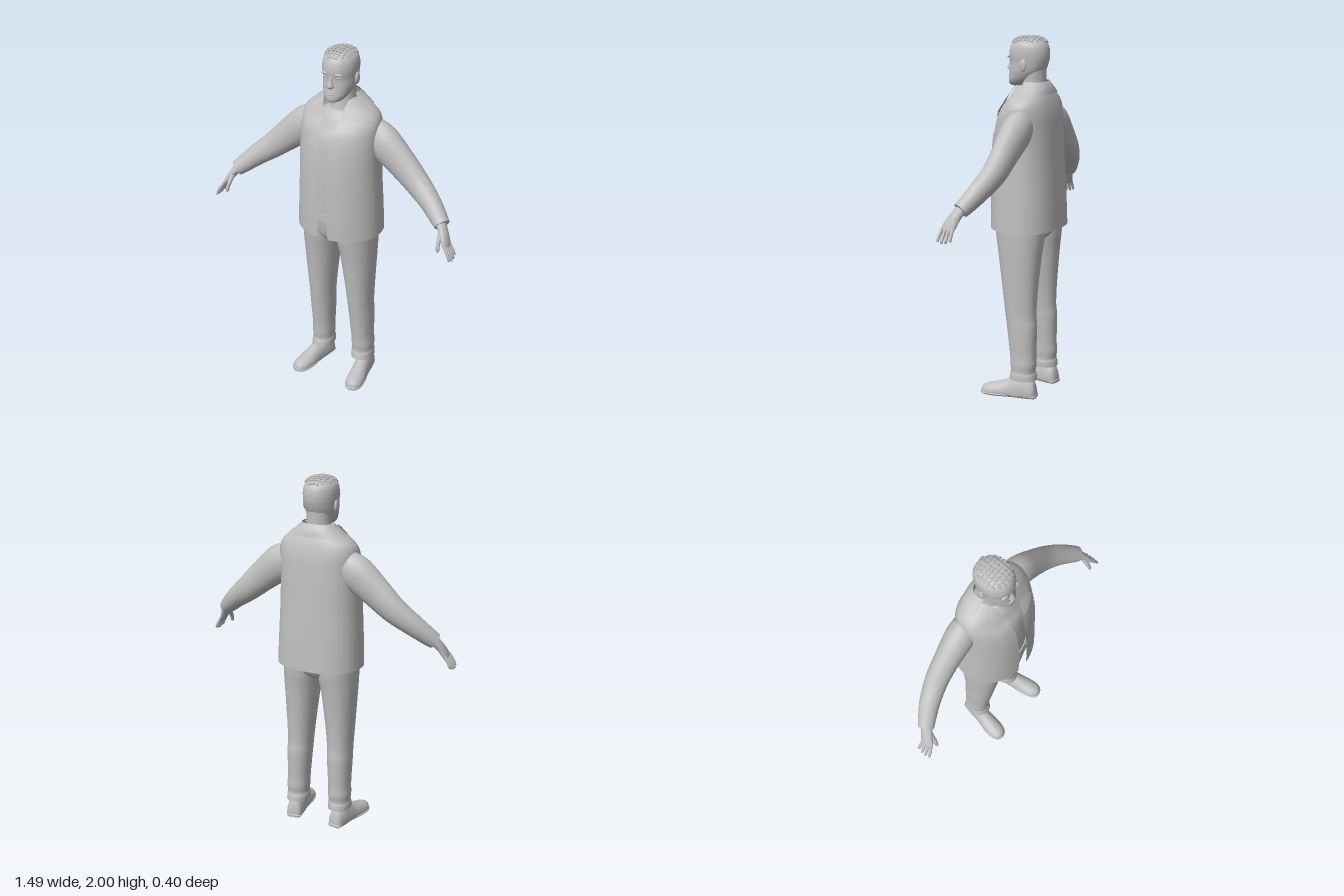
import * as THREE from 'three';
import { toCreasedNormals } from 'three/addons/utils/BufferGeometryUtils.js';

const V = (x, y, z) => new THREE.Vector3(x, y, z);
const lerp = THREE.MathUtils.lerp;

// Catmull-Rom resampling of rows of numbers
function smooth(rows, k = 4) {
  const out = [], n = rows.length, at = i => rows[Math.min(n - 1, Math.max(0, i))];
  for (let i = 0; i < n - 1; i++) for (let s = 0; s < k; s++) {
    const t = s / k;
    out.push(rows[i].map((b, c) => {
      const a = at(i - 1)[c], d = at(i + 1)[c], e = at(i + 2)[c];
      return b + 0.5 * t * (d - a + t * (2 * a - 5 * b + 4 * d - e + t * (3 * (b - d) + e - a)));
    }));
  }
  out.push(rows[n - 1]);
  return out;
}

// Skin over rings of points; closed rings get end caps
function loft(rings, closed = true, crease = 0.9) {
  const n = rings[0].length, pos = [], idx = [];
  rings.forEach(r => r.forEach(p => pos.push(p.x, p.y, p.z)));
  for (let i = 0; i < rings.length - 1; i++) for (let j = 0; j < (closed ? n : n - 1); j++) {
    const k = (j + 1) % n, a = i * n + j, b = i * n + k;
    idx.push(a, b, a + n, b, b + n, a + n);
  }
  if (closed) [0, rings.length - 1].forEach(i => {
    const c = rings[i].reduce((s, p) => s.add(p), V(0, 0, 0)).divideScalar(n), ci = pos.length / 3;
    pos.push(c.x, c.y, c.z);
    for (let j = 0; j < n; j++) {
      const a = i * n + j, b = i * n + (j + 1) % n;
      idx.push(ci, ...(i ? [a, b] : [b, a]));
    }
  });
  const g = new THREE.BufferGeometry();
  g.setAttribute('position', new THREE.Float32BufferAttribute(pos, 3));
  g.setIndex(idx);
  return toCreasedNormals(g, crease);
}

// Level section: [y, cx, rx, front z, back z, right edge, left edge]; edges leave it open in front
function section([y, cx, rx, f, b, e0, e1], n = 32, p = 0.9, pBack = p) {
  const open = e0 !== undefined, zc = (f + b) / 2, rz = (f - b) / 2;
  const ang = e => Math.asin(Math.min(1, e / rx));
  const t0 = open ? ang(e1) : 0, t1 = Math.PI * 2 - (open ? ang(e0) : 0), ring = [];
  for (let j = 0; j < (open ? n + 1 : n); j++) {
    const t = lerp(t0, t1, j / n), s = Math.sin(t), c = Math.cos(t), q = c > 0 ? p : pBack;
    ring.push(V(cx + rx * Math.sign(s) * Math.abs(s) ** q, y, zc + rz * Math.sign(c) * Math.abs(c) ** q));
  }
  return ring;
}
const column = (rows, n, p) => loft(smooth(rows).map(r => section(r, n, p)));

// Limb along a path: [x, y, z, radius across, radius in depth]
function limb(rows, n = 16, k = 4) {
  const r = smooth(rows, k), pt = i => V(...r[Math.min(r.length - 1, Math.max(0, i))].slice(0, 3));
  return loft(r.map((row, i) => {
    const T = pt(i + 1).sub(pt(i - 1)).normalize();
    const B = V(0, 0, 1).addScaledVector(T, -T.z).normalize(), N = T.clone().cross(B);
    return Array.from({ length: n }, (_, j) => {
      const t = j / n * Math.PI * 2;
      return pt(i).addScaledVector(N, row[3] * Math.sin(t)).addScaledVector(B, row[4] * Math.cos(t));
    });
  }));
}

// Foot section rows: [distance along, half width, height]
function foot(rows) {
  const heel = V(0.13, 0, -0.115), D = V(0.055, 0, 0.313), S = V(0.985, 0, -0.173);
  return loft(smooth(rows).map(([s, w, h]) => Array.from({ length: 20 }, (_, j) => {
    const t = j / 20 * Math.PI * 2, u = Math.sin(t), base = Math.min(0.018, h / 2);
    const y = u > 0 ? base + (h - base) * u : base * (1 - Math.min(1, -2 * u));
    const p = heel.clone().addScaledVector(D, s).addScaledVector(S, w * Math.cos(t));
    return p.setY(y);
  })));
}

function mirrored(geo) {
  const g = geo.clone().scale(-1, 1, 1);
  for (const a of [g.attributes.position, g.attributes.normal])
    for (let i = 0; i < a.count; i += 3) {
      const p = V().fromBufferAttribute(a, i + 1), q = V().fromBufferAttribute(a, i + 2);
      a.setXYZ(i + 1, q.x, q.y, q.z);
      a.setXYZ(i + 2, p.x, p.y, p.z);
    }
  return g;
}

const ball = (x, y, z, a, b, c) =>
  new THREE.SphereGeometry(1, 16, 12).scale(a, b, c).translate(x, y, z).toNonIndexed();

export function createModel() {
  const model = new THREE.Group();
  const grey = new THREE.MeshStandardMaterial({ color: 0xbfbfbf, side: THREE.DoubleSide });
  grey.name = 'plain grey';
  const add = (name, geo) => {
    const m = new THREE.Mesh(geo, grey);
    m.name = name;
    model.add(m);
  };
  const pair = (name, geo) => { add(name + 'Left', geo); add(name + 'Right', mirrored(geo)); };

  // Open jacket
  const coat = smooth([
    [0.955, 0, 0.242, 0.195, -0.195, 0.037, 0.03], [1.1, 0, 0.237, 0.195, -0.19, 0.033, 0.027],
    [1.3, 0, 0.228, 0.19, -0.18, 0.036, 0.025], [1.45, 0, 0.226, 0.178, -0.172, 0.04, 0.025],
    [1.55, 0, 0.226, 0.155, -0.165, 0.045, 0.032], [1.6, 0, 0.225, 0.13, -0.158, 0.06, 0.05],
    [1.64, 0, 0.215, 0.1, -0.148, 0.072, 0.068], [1.67, 0, 0.188, 0.085, -0.138, 0.08, 0.078],
    [1.7, 0, 0.145, 0.07, -0.125, 0.083, 0.083], [1.74, 0, 0.095, 0.05, -0.11, 0.08, 0.08]]);
  add('jacket', loft(coat.map(r => section(r, 56, 1, 0.8)), false));
  add('collar', loft(smooth([
    [1.69, 0, 0.165, 0.05, -0.14, 0.14, 0.14], [1.73, 0, 0.116, 0.04, -0.128, 0.105, 0.105],
    [1.757, 0, 0.088, 0.02, -0.108, 0.08, 0.08]]).map(r => section(r, 32, 1, 0.85)), false));

  // Plates draped over the jacket front, corners from lower inner to upper outer
  const front = (x, y) => {
    const i = Math.max(1, coat.findIndex(r => r[0] >= y)), a = coat[i - 1], b = coat[i];
    const [, , rx, f, k] = a.map((v, c) => lerp(v, b[c], (y - a[0]) / (b[0] - a[0])));
    return (f + k) / 2 + (f - k) / 2 * Math.sqrt(Math.max(0, 1 - (x / rx) ** 2));
  };
  const drape = (a, b, c, d, lift) => loft(Array.from({ length: 9 }, (_, i) =>
    Array.from({ length: 9 }, (_, j) => {
      const u = j / 8, v = i / 8;
      const x = lerp(lerp(a[0], b[0], u), lerp(c[0], d[0], u), v);
      const y = lerp(lerp(a[1], b[1], u), lerp(c[1], d[1], u), v);
      return V(x, y, front(x, y) + lift);
    })), false);
  add('lapelLeft', drape([0.045, 1.575], [0.155, 1.595], [0.074, 1.738], [0.09, 1.738], 0.014));
  add('lapelFlapLeft', drape([0.05, 1.565], [0.15, 1.57], [0.06, 1.595], [0.165, 1.6], 0.008));
  add('lapelRight', drape([-0.135, 1.555], [-0.04, 1.615], [-0.155, 1.615], [-0.045, 1.635], 0.014));
  add('collarRight', drape([-0.155, 1.615], [-0.045, 1.635], [-0.09, 1.738], [-0.074, 1.738], 0.014));
  pair('chestPocket', drape([0.12, 1.31], [0.195, 1.31], [0.12, 1.48], [0.195, 1.48], 0.004));

  // Shirt, belt and trousers
  add('shirt', column([
    [1.03, 0, 0.19, 0.15, -0.15], [1.3, 0, 0.195, 0.155, -0.15], [1.5, 0, 0.195, 0.14, -0.14],
    [1.58, 0, 0.18, 0.105, -0.13], [1.63, 0, 0.13, 0.08, -0.12], [1.665, 0, 0.078, 0.052, -0.1]], 32, 1));
  add('belt', column([[1.035, 0, 0.197, 0.158, -0.155], [1.08, 0, 0.197, 0.158, -0.155]], 32, 1));
  add('trouserSeat', column([
    [0.87, 0, 0.05, 0.07, -0.07], [0.9, 0, 0.13, 0.105, -0.115], [0.95, 0, 0.2, 0.132, -0.145],
    [1.04, 0, 0.2, 0.148, -0.155]], 32, 0.9));
  pair('trouserLeg', column([
    [0.1, 0.133, 0.063, 0.044, -0.115], [0.13, 0.132, 0.063, 0.038, -0.112],
    [0.15, 0.132, 0.059, 0.032, -0.106], [0.19, 0.132, 0.062, 0.037, -0.112],
    [0.25, 0.13, 0.061, 0.041, -0.109], [0.4, 0.127, 0.067, 0.06, -0.113],
    [0.47, 0.125, 0.068, 0.07, -0.107], [0.6, 0.122, 0.077, 0.086, -0.112],
    [0.8, 0.115, 0.094, 0.112, -0.13], [0.9, 0.108, 0.104, 0.128, -0.143],
    [1.0, 0.108, 0.106, 0.14, -0.15]], 24, 0.9));

  // Shoes and soles
  pair('shoe', foot([[0, 0.025, 0.05], [0.05, 0.042, 0.1], [0.2, 0.048, 0.13], [0.35, 0.047, 0.125],
    [0.5, 0.048, 0.098], [0.7, 0.052, 0.073], [0.88, 0.047, 0.057], [0.97, 0.03, 0.045], [1, 0.012, 0.03]]));
  pair('sole', foot([[-0.01, 0.025, 0.018], [0.05, 0.044, 0.02], [0.4, 0.044, 0.02],
    [0.7, 0.056, 0.02], [0.9, 0.049, 0.02], [0.98, 0.032, 0.02], [1.01, 0.014, 0.018]]));

  // Sleeves and hands
  pair('sleeve', limb([
    [0.17, 1.54, -0.05, 0.09, 0.07], [0.235, 1.5, -0.045, 0.1, 0.078], [0.34, 1.415, -0.04, 0.087, 0.068],
    [0.443, 1.325, -0.03, 0.073, 0.062], [0.54, 1.25, 0, 0.06, 0.055], [0.61, 1.19, 0.035, 0.05, 0.048],
    [0.645, 1.16, 0.055, 0.043, 0.044]], 24));
  pair('palm', limb([
    [0.63, 1.175, 0.05, 0.028, 0.032], [0.665, 1.13, 0.075, 0.022, 0.033],
    [0.69, 1.085, 0.095, 0.016, 0.04], [0.702, 1.062, 0.1, 0.011, 0.037]]));
  [-1.5, -0.5, 0.5, 1.5].forEach((o, i) => {
    const long = [0.85, 0.97, 1, 0.9][i];
    pair('finger' + (i + 1), limb([
      [0.695, 1.08, 0.1 + o * 0.019, 0.009, 0.009], [0.695 + 0.026 * long, 1.08 - 0.04 * long, 0.104 + o * 0.022, 0.009, 0.009],
      [0.695 + 0.042 * long, 1.08 - 0.075 * long, 0.105 + o * 0.024, 0.007, 0.007],
      [0.695 + 0.044 * long, 1.08 - 0.081 * long, 0.105 + o * 0.024, 0.002, 0.002]], 10, 3));
  });
  pair('thumb', limb([[0.655, 1.13, 0.09, 0.014, 0.015], [0.66, 1.085, 0.125, 0.011, 0.012],
    [0.664, 1.05, 0.138, 0.009, 0.009], [0.665, 1.042, 0.14, 0.002, 0.002]], 10, 3));

  // Neck and head
  add('neck', column([[1.62, 0, 0.08, 0.05, -0.105], [1.7, 0, 0.069, 0.032, -0.1],
    [1.76, 0, 0.066, 0.03, -0.1], [1.82, 0, 0.07, 0.03, -0.1]], 24, 1));
  add('head', column([
    [1.728, 0, 0.025, 0.098, 0.03], [1.737, 0, 0.043, 0.11, 0.0], [1.76, 0, 0.064, 0.112, -0.04],
    [1.79, 0, 0.078, 0.107, -0.078], [1.82, 0, 0.086, 0.103, -0.1], [1.86, 0, 0.089, 0.1, -0.115],
    [1.89, 0, 0.092, 0.105, -0.12], [1.93, 0, 0.091, 0.1, -0.118], [1.96, 0, 0.081, 0.086, -0.105],
    [1.98, 0, 0.058, 0.06, -0.08], [1.988, 0, 0.025, 0.028, -0.048]], 32, 0.95));
  add('nose', column([[1.806, 0, 0.008, 0.11, 0.08], [1.815, 0, 0.019, 0.122, 0.08],
    [1.825, 0, 0.018, 0.125, 0.08], [1.845, 0, 0.011, 0.116, 0.08], [1.878, 0, 0.009, 0.105, 0.08]], 16, 1));
  add('upperLip', ball(0, 1.786, 0.104, 0.026, 0.005, 0.009));
  add('lowerLip', ball(0, 1.775, 0.104, 0.023, 0.006, 0.009));
  pair('brow', ball(0.036, 1.886, 0.092, 0.028, 0.007, 0.011));
  pair('eye', ball(0.035, 1.865, 0.086, 0.015, 0.007, 0.01));
  pair('ear', ball(0.093, 1.845, -0.015, 0.01, 0.034, 0.02).rotateX(0));

  // Cropped hair: crossing strands over the crown
  const crown = (x, z) => {
    const r = Math.hypot(x / 0.094, (z + 0.01) / 0.11);
    return r < 0.92 ? 1.9 + 0.096 * Math.cbrt(1 - r ** 3) : 0;
  };
  const strand = (name, at) => {
    const pts = [];
    for (let s = -0.12; s <= 0.121; s += 0.008) {
      const [x, z] = at(s), y = crown(x, z);
      if (y) pts.push(V(x, y, z));
    }
    if (pts.length > 2) add(name, new THREE.TubeGeometry(new THREE.CatmullRomCurve3(pts), 20, 0.004, 6));
  };
  for (let i = -3; i <= 3; i++) strand('hairLengthwise', s => [i * 0.023, s]);
  for (let i = -4; i <= 4; i++) strand('hairCrosswise', s => [s, i * 0.023 - 0.01]);

  return model;
}
